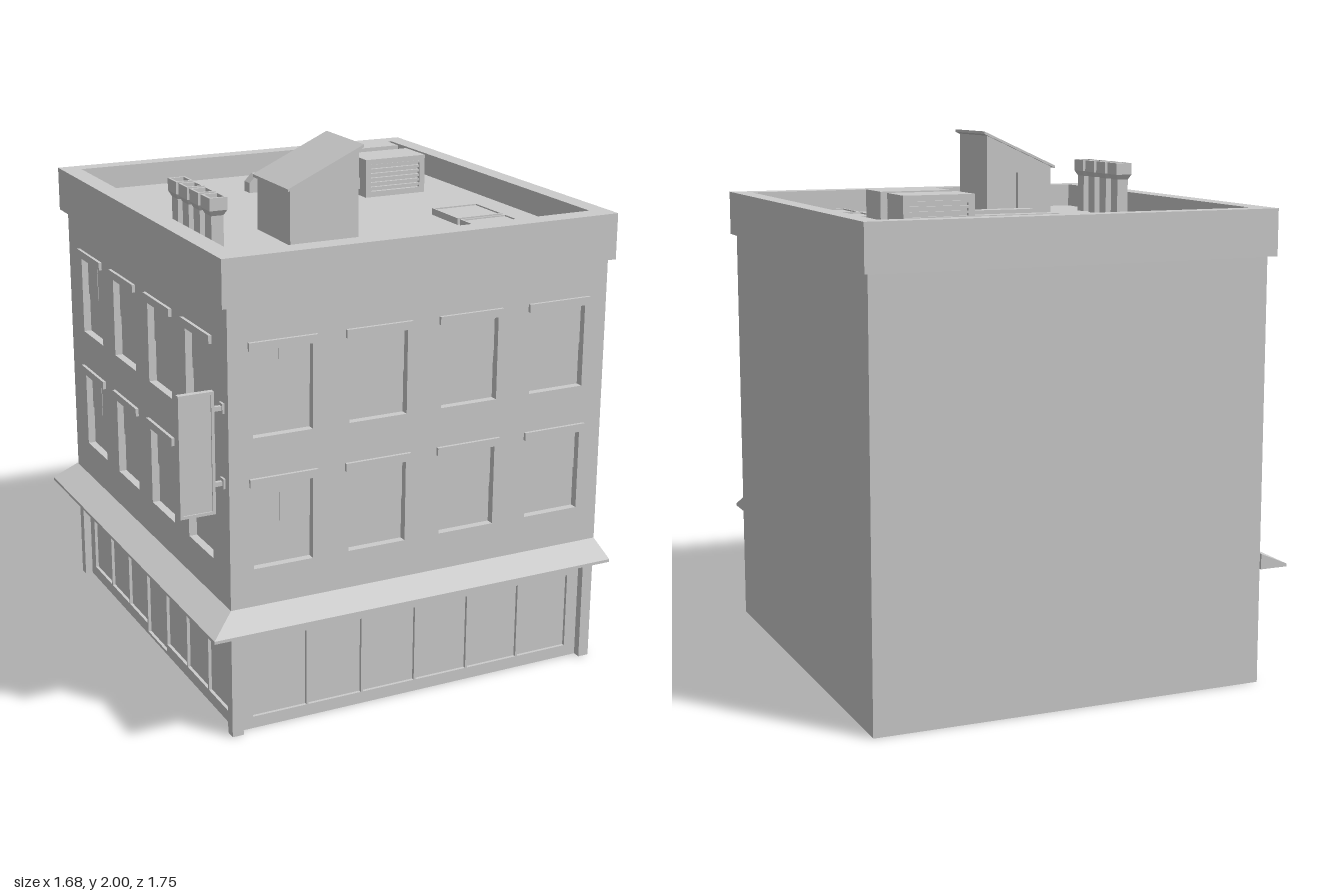
import * as THREE from 'three';

const mat = new THREE.MeshStandardMaterial({ color: 0xcccccc, flatShading: true, side: THREE.DoubleSide });

function add(parent, name, geo, x = 0, y = 0, z = 0) {
  const m = new THREE.Mesh(geo, mat);
  m.name = name;
  m.position.set(x, y, z);
  parent.add(m);
  return m;
}

// Box given by its limits
function box(parent, name, x0, x1, y0, y1, z0, z1) {
  return add(parent, name, new THREE.BoxGeometry(x1 - x0, y1 - y0, z1 - z0),
    (x0 + x1) / 2, (y0 + y1) / 2, (z0 + z1) / 2);
}

const poly = pts => pts.map(p => new THREE.Vector2(p[0], p[1]));
const rect = (x0, x1, y0, y1) => poly([[x0, y0], [x1, y0], [x1, y1], [x0, y1]]);

// Flat plate with openings, extruded along +z
function plate(outline, holes, depth) {
  const s = new THREE.Shape(outline);
  holes.forEach(h => s.holes.push(new THREE.Path(h)));
  return new THREE.ExtrudeGeometry(s, { depth, bevelEnabled: false });
}

// Street wall facing local +z: two rows of windows above a glazed shop front
function facade(name, half, shopHalf, panes, doorPane) {
  const g = new THREE.Group();
  g.name = name;
  const T = 0.04, W = 0.113;
  const centres = [-0.5475, -0.1825, 0.1825, 0.5475];
  const rows = [[0.63, 0.935], [1.11, 1.42]];
  const holes = [];
  for (const [y0, y1] of rows) centres.forEach((c, i) => {
    holes.push(rect(c - W, c + W, y0, y1));
    const mid = (y0 + y1) / 2;
    box(g, 'windowPane', c - W, c + W, y0, y1, -0.036, -0.03);
    box(g, 'upperSash', c - W, c + W, mid, y1, -0.031, -0.026);
    if (i === 0) box(g, 'windowMuntin', c - 0.003, c + 0.003, mid, y1, -0.028, -0.024);
    box(g, 'windowHeader', c - 0.128, c + 0.128, y1, y1 + 0.03, -0.01, 0.012);
  });
  const outline = poly([[-half, 0], [-shopHalf, 0], [-shopHalf, 0.385], [shopHalf, 0.385],
    [shopHalf, 0], [half, 0], [half, 1.62], [-half, 1.62]]);
  add(g, 'streetWall', plate(outline, holes, T), 0, 0, -T);

  // Shop front frame and glass
  const in0 = shopHalf - 0.045, step = 2 * in0 / panes, glass = [];
  for (let i = 0; i < panes; i++) {
    const x0 = -in0 + i * step;
    glass.push(rect(x0 + 0.004, x0 + step - 0.004, i === doorPane ? 0.012 : 0.045, 0.34));
  }
  add(g, 'shopFrame', plate(rect(-shopHalf, shopHalf, 0, 0.385), glass, 0.02), 0, 0, -0.05);
  box(g, 'shopGlass', -in0, in0, 0.008, 0.345, -0.047, -0.042);
  return g;
}

// Canopy: one wedge section swept round the street corner with a mitre
function canopy() {
  const prof = [[0, 0.49], [0.108, 0.443], [0.108, 0.432], [0, 0.432]];
  const path = [[0.82, 0.77, 0, 1], [-0.68, 0.77, -1, 1], [-0.68, -0.855, -1, 0]];
  const pos = [], idx = [];
  for (const [x, z, dx, dz] of path) for (const [o, y] of prof) pos.push(x + dx * o, y, z + dz * o);
  for (let s = 0; s < 2; s++) for (let k = 0; k < 4; k++) {
    const a = s * 4 + k, b = s * 4 + (k + 1) % 4;
    idx.push(a, a + 4, b, b, a + 4, b + 4);
  }
  idx.push(0, 1, 2, 0, 2, 3, 8, 10, 9, 8, 11, 10);
  const g = new THREE.BufferGeometry();
  g.setAttribute('position', new THREE.Float32BufferAttribute(pos, 3));
  g.setIndex(idx);
  const flat = g.toNonIndexed();
  flat.computeVertexNormals();
  return flat;
}

export function createModel() {
  const root = new THREE.Group();
  root.name = 'cornerBuilding';
  const R = 1.66; // roof level

  // Walls, open underneath
  const front = facade('frontFacade', 0.75, 0.7075, 6, -1);
  front.position.set(0.07, 0, 0.77);
  const side = facade('sideFacade', 0.8075, 0.7675, 7, 3);
  side.rotation.y = -Math.PI / 2;
  side.position.set(-0.68, 0, -0.0375);
  root.add(front, side);
  box(root, 'plainSideWall', 0.8, 0.82, 0, 1.62, -0.845, 0.77);
  box(root, 'backWall', -0.68, 0.82, 0, 1.62, -0.845, -0.825);
  add(root, 'canopy', canopy());

  // Roof and parapet
  box(root, 'roofDeck', -0.66, 0.8, R - 0.03, R, -0.83, 0.75);
  const parapet = add(root, 'parapet',
    plate(rect(-0.705, 0.84, -0.79, 0.872), [rect(-0.63, 0.77, -0.71, 0.803)], 0.17), 0, 1.58, 0);
  parapet.rotation.x = -Math.PI / 2;

  // Hanging sign
  const sign = new THREE.Group();
  sign.name = 'hangingSign';
  root.add(sign);
  add(sign, 'signFrame', plate(rect(-0.845, -0.715, 0.845, 1.285), [rect(-0.834, -0.726, 0.856, 1.274)], 0.022), 0, 0, 0.714);
  box(sign, 'signPanel', -0.836, -0.724, 0.854, 1.276, 0.719, 0.731);
  for (const y of [0.95, 1.22]) {
    box(sign, 'signBracket', -0.72, -0.68, y - 0.008, y + 0.008, 0.718, 0.732);
    box(sign, 'bracketPlate', -0.688, -0.68, y - 0.018, y + 0.018, 0.71, 0.74);
  }

  // Chimney pots: tapered square profile with a hollow top
  const r2 = Math.SQRT2;
  const pot = [[0.023, 0], [0.023, 0.145], [0.033, 0.165], [0.033, 0.21], [0.025, 0.21], [0.025, 0.18], [0, 0.18]]
    .map(([r, y]) => new THREE.Vector2(r * r2, y));
  for (let i = 0; i < 4; i++) {
    const geo = new THREE.LatheGeometry(pot, 4).rotateY(Math.PI / 4).scale(1, 1, 1.22);
    add(root, 'chimneyPot', geo, -0.5625, R, 0.092 + i * 0.102);
  }

  // Roof stair hut with sloping roof and recessed door at the back
  const hut = new THREE.Group();
  hut.name = 'stairHut';
  root.add(hut);
  const slope = x => 1.86 + (x + 0.28) * 0.458;
  const wall = [[-0.27, R], [0, R], [0, slope(0)], [-0.27, slope(-0.27)]];
  add(hut, 'hutBody', plate(poly(wall), [], 0.26), 0, 0, 0.13);
  add(hut, 'hutBackWall', plate(poly([[-0.27, R], [-0.13, R], [-0.13, 1.84], [-0.05, 1.84], [-0.05, R],
    ...wall.slice(1)]), [], 0.02), 0, 0, 0.11);
  add(hut, 'hutRoof', plate(poly([[-0.283, 1.855], [0.015, 1.99], [0.015, 2], [-0.283, 1.865]]), [], 0.3), 0, 0, 0.1);

  // Air conditioning units with louvred ends and ducts
  for (const [z0, z1, d] of [[-0.585, -0.425, -0.505], [-0.355, -0.2, -0.277]]) {
    const unit = new THREE.Group();
    unit.name = 'airConditioner';
    root.add(unit);
    box(unit, 'unitCore', 0.345, 0.59, R, 1.8, z0 + 0.015, z1 - 0.015);
    add(unit, 'unitCasing', plate(rect(0.337, 0.6, R, 1.81), [rect(0.36, 0.577, R + 0.022, 1.79)], z1 - z0), 0, 0, z0);
    for (let i = 0; i < 6; i++) {
      const y = R + 0.03 + i * 0.018;
      for (const [a, b] of [[z0 + 0.003, z0 + 0.016], [z1 - 0.016, z1 - 0.003]])
        box(unit, 'louvre', 0.36, 0.577, y, y + 0.009, a, b);
    }
    // Duct with an angled elbow turning down to the roof
    const duct = poly([[0.34, 1.685], [0.005, 1.685], [-0.005, 1.675], [-0.005, R], [-0.04, R],
      [-0.04, 1.7], [-0.01, 1.73], [0.34, 1.73]]);
    add(unit, 'duct', plate(duct, [], 0.05), 0, 0, d - 0.025);
  }

  // Low skylights
  for (const z of [0.175, 0.385]) {
    const frame = add(root, 'skylightFrame',
      plate(rect(0.425, 0.62, -z - 0.19, -z), [rect(0.432, 0.613, -z - 0.183, -z - 0.007)], 0.025), 0, R, 0);
    frame.rotation.x = -Math.PI / 2;
    box(root, 'skylightGlass', 0.43, 0.615, R, R + 0.02, z + 0.005, z + 0.185);
  }
  return root;
}
